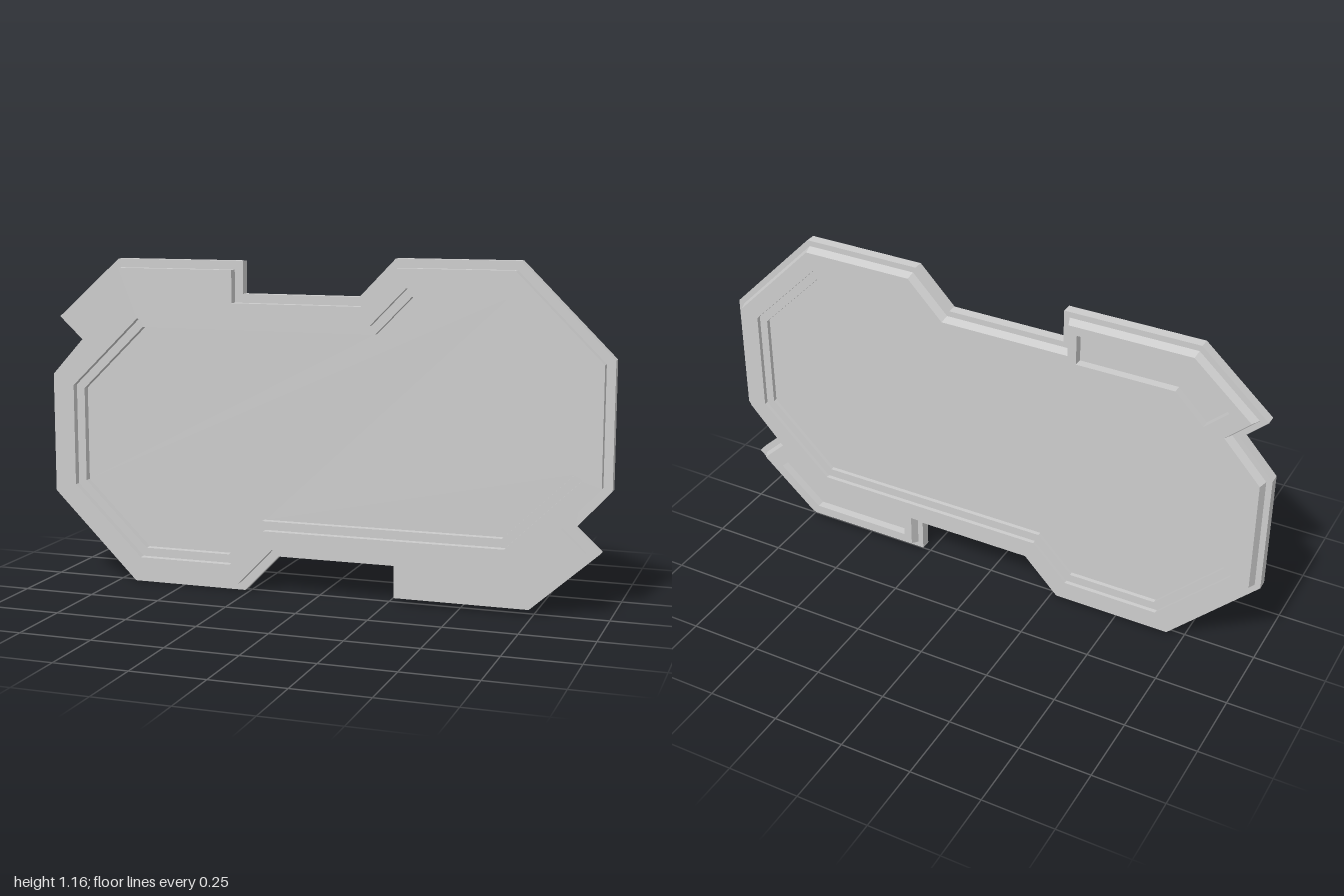
import * as THREE from 'three';

const material = new THREE.MeshStandardMaterial({ color: 0xcccccc, flatShading: true });
const CENTRE_Y = 0.5825;

// The panel repeats itself after half a turn, so outlines are given as halves.
const halfTurn = (pts) => pts.map(([x, y]) => [-x, -y]);
const whole = (half) => [...half, ...halfTurn(half)];

// Mitred inward offset of a counter-clockwise outline.
function inset(pts, d) {
  return pts.map((p, i) => {
    const a = pts[(i + pts.length - 1) % pts.length];
    const b = pts[(i + 1) % pts.length];
    const normal = (s, e) => {
      const l = Math.hypot(e[0] - s[0], e[1] - s[1]);
      return [-(e[1] - s[1]) / l, (e[0] - s[0]) / l];
    };
    const m = normal(a, p), n = normal(p, b);
    const k = d / (1 + m[0] * n[0] + m[1] * n[1]);
    return [p[0] + (m[0] + n[0]) * k, p[1] + (m[1] + n[1]) * k];
  });
}

// Flat slab between two depths with any number of holes.
function slab(outline, holes, z0, z1) {
  const toVectors = (pts) => pts.map(([x, y]) => new THREE.Vector2(x, y));
  const shape = new THREE.Shape(toVectors(outline));
  shape.holes = holes.map((h) => new THREE.Path(toVectors(h)));
  const geo = new THREE.ExtrudeGeometry(shape, { depth: z1 - z0, bevelEnabled: false });
  return geo.translate(0, 0, z0);
}

// Draws the back face of a slab in to a smaller outline, sloping its outer wall.
function taperBack(geo, from, to, zBack) {
  const pos = geo.attributes.position;
  for (let i = 0; i < pos.count; i++) {
    if (Math.abs(pos.getZ(i) - zBack) > 1e-4) continue;
    const k = from.findIndex(([x, y]) => Math.hypot(x - pos.getX(i), y - pos.getY(i)) < 1e-4);
    if (k >= 0) pos.setXY(i, to[k][0], to[k][1]);
  }
  geo.computeVertexNormals();
  return geo;
}

export function createModel() {
  const group = new THREE.Group();
  group.name = 'framedPanel';
  const add = (name, geo) => {
    const mesh = new THREE.Mesh(geo, material);
    mesh.name = name;
    mesh.position.y = CENTRE_Y;
    group.add(mesh);
  };

  // Outer outline with two corner tabs, and the opening it frames
  const outer = whole([
    [-1, -0.273], [-0.69, -0.5825], [-0.27, -0.5825], [-0.145, -0.453], [0.27, -0.453],
    [0.27, -0.565], [0.735, -0.565], [0.968, -0.357], [0.883, -0.278], [1, -0.15],
  ]);
  const opening = whole([
    [-0.905, -0.24], [-0.655, -0.488], [-0.315, -0.488],
    [-0.19, -0.36], [0.655, -0.36], [0.905, -0.117],
  ]);
  const innerOpening = inset(opening, 0.03);

  // Recess in the back of each tab
  const pocket = [
    [-0.33, 0.4], [-0.33, 0.505], [-0.7, 0.505],
    [-0.85, 0.372], [-0.77, 0.3], [-0.67, 0.4],
  ];

  // Widest middle layer
  add('flange', slab(outer, [opening], -0.018, 0.018));

  // Raised front border
  add('frontRim', slab(inset(outer, 0.03), [opening], 0.018, 0.05));

  // Raised back border with sloping sides and tab pockets
  const backFoot = inset(outer, 0.02);
  const backRim = slab(backFoot, [opening, pocket, halfTurn(pocket)], -0.048, -0.018);
  add('backRim', taperBack(backRim, backFoot, inset(outer, 0.03), -0.048));

  // Stepped ledge inside the opening
  add('innerLedge', slab(inset(opening, -0.002), [innerOpening], -0.033, 0.025));

  // Thin central plate
  add('plate', slab(inset(innerOpening, -0.002), [], -0.018, 0));

  return group;
}
